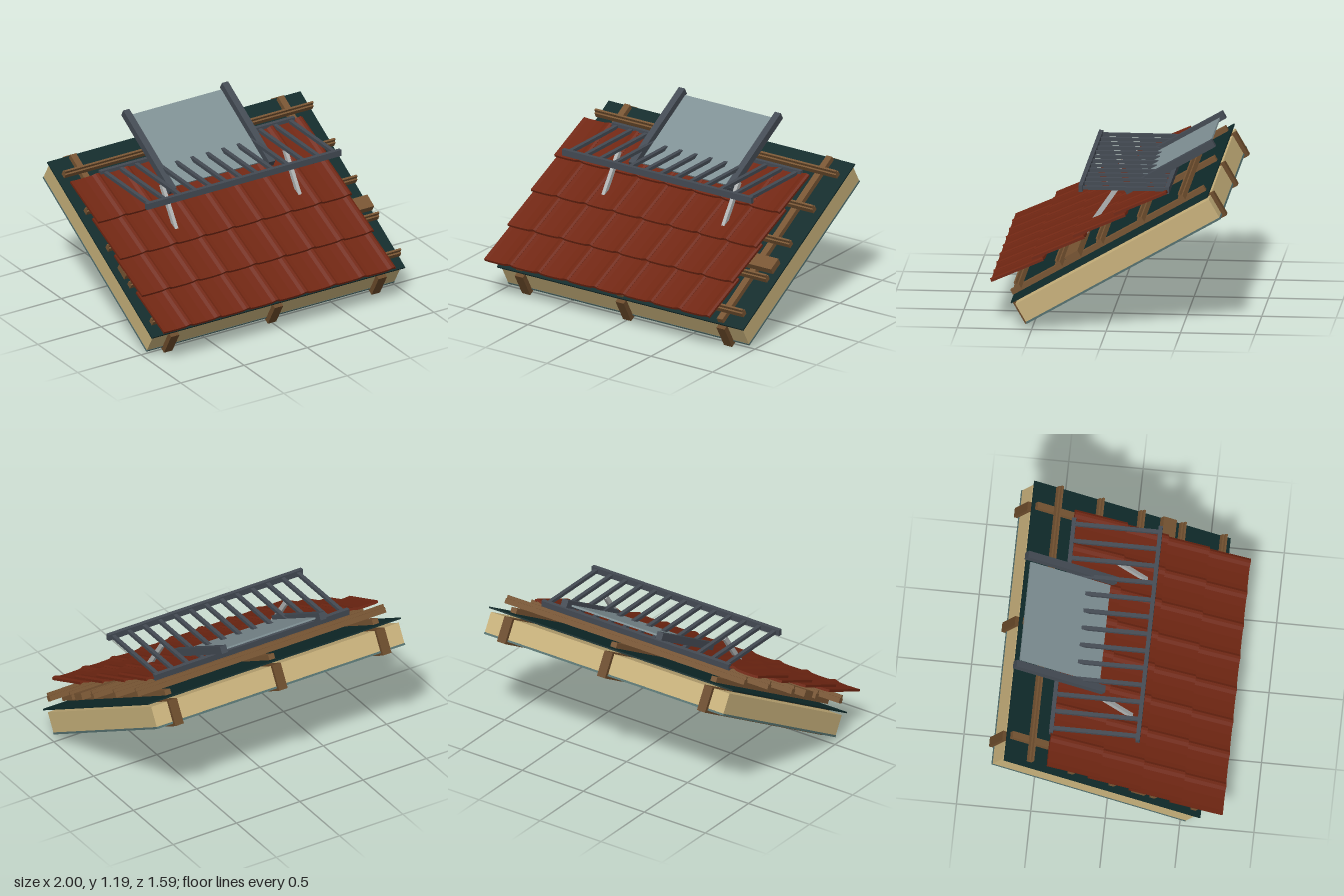
import * as THREE from 'three';

const mat = (name, color) => {
  const m = new THREE.MeshStandardMaterial({ color });
  m.name = name;
  return m;
};

export function createModel() {
  const rafterWood = mat('rafter wood', 0x6a4a2a);
  const battenWood = mat('batten wood', 0x775432);
  const insulationTan = mat('insulation tan', 0xc8b17b);
  const membraneDark = mat('membrane dark green', 0x0f2a2a);
  const liningTeal = mat('lining teal', 0x55716f);
  const tileRed = mat('tile red', 0x702612);
  const steelDark = mat('dark steel', 0x434a53);
  const steelLight = mat('light steel', 0xafb3b3);
  const glassGrey = mat('glass grey', 0x7f9094);

  const model = new THREE.Group();
  model.name = 'roofSection';

  // Everything lying on the slope: local y is the roof normal, +z runs down the slope
  const slope = new THREE.Group();
  slope.name = 'slope';
  slope.rotation.x = Math.PI / 6;
  model.add(slope);

  // Box given by its limits on each axis
  const box = (parent, name, material, [x0, x1], [y0, y1], [z0, z1]) => {
    const mesh = new THREE.Mesh(new THREE.BoxGeometry(x1 - x0, y1 - y0, z1 - z0), material);
    mesh.position.set((x0 + x1) / 2, (y0 + y1) / 2, (z0 + z1) / 2);
    mesh.name = name;
    parent.add(mesh);
    return mesh;
  };
  const around = (c, w) => [c - w / 2, c + w / 2];

  // Rafters and counter battens
  for (const x of [-0.82, 0, 0.82]) {
    box(slope, 'rafter', rafterWood, around(x, 0.066), [0.278, 0.456], [-1.08, 0.481]);
    box(slope, 'counterBatten', battenWood, around(x, 0.046), [0.49, 0.526], [-1.04, 0.455]);
  }

  // Layers: inner lining, insulation, membrane
  box(slope, 'innerLining', liningTeal, [-0.98, 0.98], [0.296, 0.31], [-1.057, 0.447]);
  box(slope, 'insulation', insulationTan, [-0.978, 0.978], [0.31, 0.451], [-1.055, 0.445]);
  box(slope, 'membrane', membraneDark, [-1, 1], [0.471, 0.481], [-1.06, 0.462]);

  // Cross battens with a narrow strip on top
  const pitch = 0.318;
  for (let i = 0; i < 5; i++) {
    const z = 0.375 - i * pitch;
    box(slope, 'batten', battenWood, [-0.98, 0.98], [0.526, 0.562], around(z, 0.038));
    box(slope, 'battenStrip', battenWood, [-0.98, 0.98], [0.562, 0.584], around(z, 0.014));
  }
  box(slope, 'supportPlank', battenWood, [-0.98, 0.98], [0.523, 0.571], around(-0.055, 0.1));

  // Tile: a flat pan with a raised roll along its right edge
  const tileWidth = 1.83 / 8, tileLength = 0.385, thick = 0.017;
  const profile = [[0, 0.004], [0.03, 0.001], [0.11, 0], [0.17, 0.003], [0.195, 0.011],
    [0.213, 0.013], [tileWidth, 0.006]];
  const tileShape = new THREE.Shape([
    ...profile.map(([x, y]) => new THREE.Vector2(x, y)),
    ...profile.slice().reverse().map(([x, y]) => new THREE.Vector2(x, y + thick)),
  ]);
  const tileGeometry = new THREE.ExtrudeGeometry(tileShape, { depth: tileLength, bevelEnabled: false });
  tileGeometry.translate(0, 0, -tileLength);
  for (let row = 0; row < 4; row++) {
    const course = new THREE.Group();
    course.name = 'tileCourse';
    course.position.set(-1, 0.628, 0.542 - row * pitch);
    course.rotation.x = -0.108;
    for (let col = 0; col < 8; col++) {
      const tile = new THREE.Mesh(tileGeometry, tileRed);
      tile.name = 'roofTile';
      tile.position.x = col * tileWidth;
      course.add(tile);
    }
    slope.add(course);
  }

  // Raised glass panel between two beams
  for (const x of [-0.39, 0.39]) {
    box(slope, 'panelBeam', steelDark, around(x, 0.048), [0.647, 0.699], [-1.16, -0.473]);
  }
  box(slope, 'glassPanel', glassGrey, [-0.35, 0.35], [0.664, 0.676], [-1.126, -0.508]);

  // Level walkway grate
  const grate = new THREE.Group();
  grate.name = 'walkwayGrate';
  model.add(grate);
  for (const z of [0.194, -0.388]) {
    box(grate, 'grateRail', steelDark, [-0.768, 0.768], [0.897, 0.941], around(z, 0.028));
  }
  for (let i = -6; i <= 6; i++) {
    box(grate, 'grateBar', steelDark, around(i * 0.1217, 0.027), [0.908, 0.931], [-0.376, 0.182]);
  }

  // Slanted struts from the support plank up to the grate
  for (const x of [-0.487, 0.487]) {
    const foot = new THREE.Vector3(x, 0.515, 0.21), head = new THREE.Vector3(x, 0.905, -0.055);
    const strut = new THREE.Mesh(new THREE.BoxGeometry(0.025, foot.distanceTo(head), 0.032), steelLight);
    strut.name = 'strut';
    strut.position.copy(foot).lerp(head, 0.5);
    strut.rotation.x = Math.atan2(head.z - foot.z, head.y - foot.y);
    model.add(strut);
  }

  return model;
}
